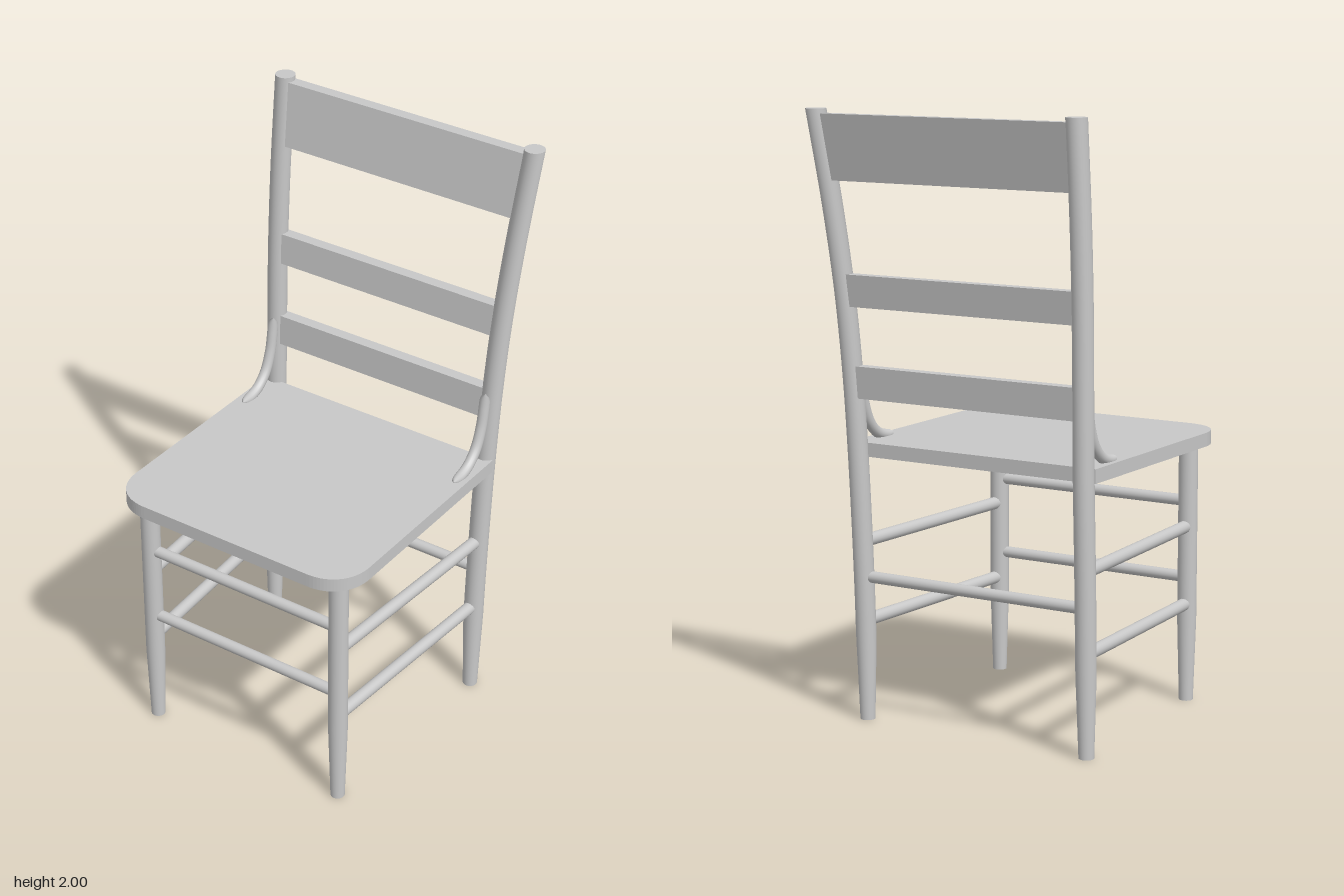
import * as THREE from 'three';

const V = (x, y, z) => new THREE.Vector3(x, y, z);

export function createModel() {
  const chair = new THREE.Group();
  chair.name = 'chair';
  const paint = new THREE.MeshStandardMaterial({ color: 0xc8c8c8 });
  paint.name = 'lightGrey';

  const add = (geometry, name) => {
    const mesh = new THREE.Mesh(geometry, paint);
    mesh.name = name;
    chair.add(mesh);
    return mesh;
  };

  // Centre line of a back post (x is mirrored for the other side)
  const postCurve = new THREE.CatmullRomCurve3([
    V(0.415, 0, -0.32), V(0.415, 0.3, -0.325), V(0.417, 0.6, -0.336), V(0.42, 0.9, -0.352),
    V(0.426, 1.15, -0.367), V(0.437, 1.42, -0.391), V(0.452, 1.7, -0.431), V(0.47, 2, -0.487),
  ]);
  const samples = postCurve.getPoints(280);
  const postAt = (y) => {
    const i = Math.max(1, samples.findIndex((p) => p.y >= y - 1e-6));
    const a = samples[i - 1], b = samples[i];
    return a.clone().lerp(b, THREE.MathUtils.clamp((y - a.y) / (b.y - a.y), 0, 1));
  };

  // Upright round post with level ends, following centre(y) and tapering to the foot
  const post = (height, centre, radius) => {
    const g = new THREE.CylinderGeometry(1, 1, height, 24, 40);
    g.translate(0, height / 2, 0);
    const p = g.attributes.position;
    for (let i = 0; i < p.count; i++) {
      const y = p.getY(i), c = centre(y);
      const r = radius * THREE.MathUtils.lerp(0.74, 1, Math.min(1, y / 0.28));
      p.setXYZ(i, c.x + p.getX(i) * r, y, c.z + p.getZ(i) * r);
    }
    return g;
  };

  // Straight round rail between two points
  const rail = (a, b, r, name) => {
    const m = add(new THREE.CylinderGeometry(r, r, a.distanceTo(b), 20), name);
    m.position.copy(a).add(b).multiplyScalar(0.5);
    m.quaternion.setFromUnitVectors(V(0, 1, 0), b.clone().sub(a).normalize());
  };

  // Seat: square at the back, rounded front corners
  const w = 0.455, front = -0.52, back = 0.34, r = 0.14, k = r * 0.4;
  const outline = new THREE.Shape();
  outline.moveTo(-w, back);
  outline.lineTo(-w, front + r);
  outline.bezierCurveTo(-w, front + k, -w + k, front, -w + r, front);
  outline.lineTo(w - r, front);
  outline.bezierCurveTo(w - k, front, w, front + k, w, front + r);
  outline.lineTo(w, back);
  outline.closePath();
  const seat = new THREE.ExtrudeGeometry(outline, { depth: 0.046, bevelEnabled: false, curveSegments: 20 });
  seat.rotateX(-Math.PI / 2).translate(0, 0.88, 0);
  add(seat, 'seat');

  for (const s of [1, -1]) {
    const side = s > 0 ? 'left' : 'right';

    // Legs and back posts
    add(post(0.885, () => V(0.37 * s, 0, 0.424), 0.032), side + 'FrontLeg');
    add(post(2, (y) => postAt(y).multiply(V(s, 1, 1)), 0.0335), side + 'BackPost');

    // Side stretchers
    for (const y of [0.598, 0.333]) {
      const b = postAt(y);
      rail(V(0.37 * s, y, 0.424), V(b.x * s, y, b.z), 0.021, side + 'SideStretcher');
    }

    // Curved brace from seat to post, thinned towards both ends
    const path = new THREE.CatmullRomCurve3([
      V(0.42 * s, 0.928, -0.155), V(0.42 * s, 0.929, -0.2), V(0.42 * s, 0.945, -0.245),
      V(0.42 * s, 0.985, -0.287), V(0.42 * s, 1.05, -0.316), V(0.42 * s, 1.12, -0.33),
      V(0.42 * s, 1.172, -0.337),
    ]);
    const brace = new THREE.TubeGeometry(path, 40, 1, 16);
    const { position, normal, uv } = brace.attributes;
    for (let i = 0; i < position.count; i++) {
      const u = uv.getX(i), n = V().fromBufferAttribute(normal, i);
      const end = Math.min(1, u / 0.14, (1 - u) / 0.08);
      const p = path.getPointAt(u).addScaledVector(n, 0.018 * Math.sqrt(end * (2 - end)));
      position.setXYZ(i, p.x, p.y, p.z);
    }
    add(brace, side + 'SeatBrace');
  }

  // Front and back stretchers
  for (const y of [0.683, 0.423]) rail(V(-0.37, y, 0.424), V(0.37, y, 0.424), 0.019, 'frontStretcher');
  const rear = postAt(0.482);
  rail(V(-rear.x, 0.482, rear.z), V(rear.x, 0.482, rear.z), 0.019, 'backStretcher');

  // Back slats: level top and bottom, leaning and widening with the posts
  for (const [low, high, name] of [[1.775, 1.985, 'topSlat'], [1.372, 1.476, 'middleSlat'], [1.075, 1.18, 'lowerSlat']]) {
    const g = new THREE.BoxGeometry(2, high - low, 0.04);
    g.translate(0, (low + high) / 2, 0);
    const p = g.attributes.position;
    for (let i = 0; i < p.count; i++) {
      const c = postAt(p.getY(i));
      p.setX(i, p.getX(i) * (c.x - 0.01));
      p.setZ(i, p.getZ(i) + c.z);
    }
    g.computeVertexNormals();
    add(g, name);
  }

  return chair;
}
